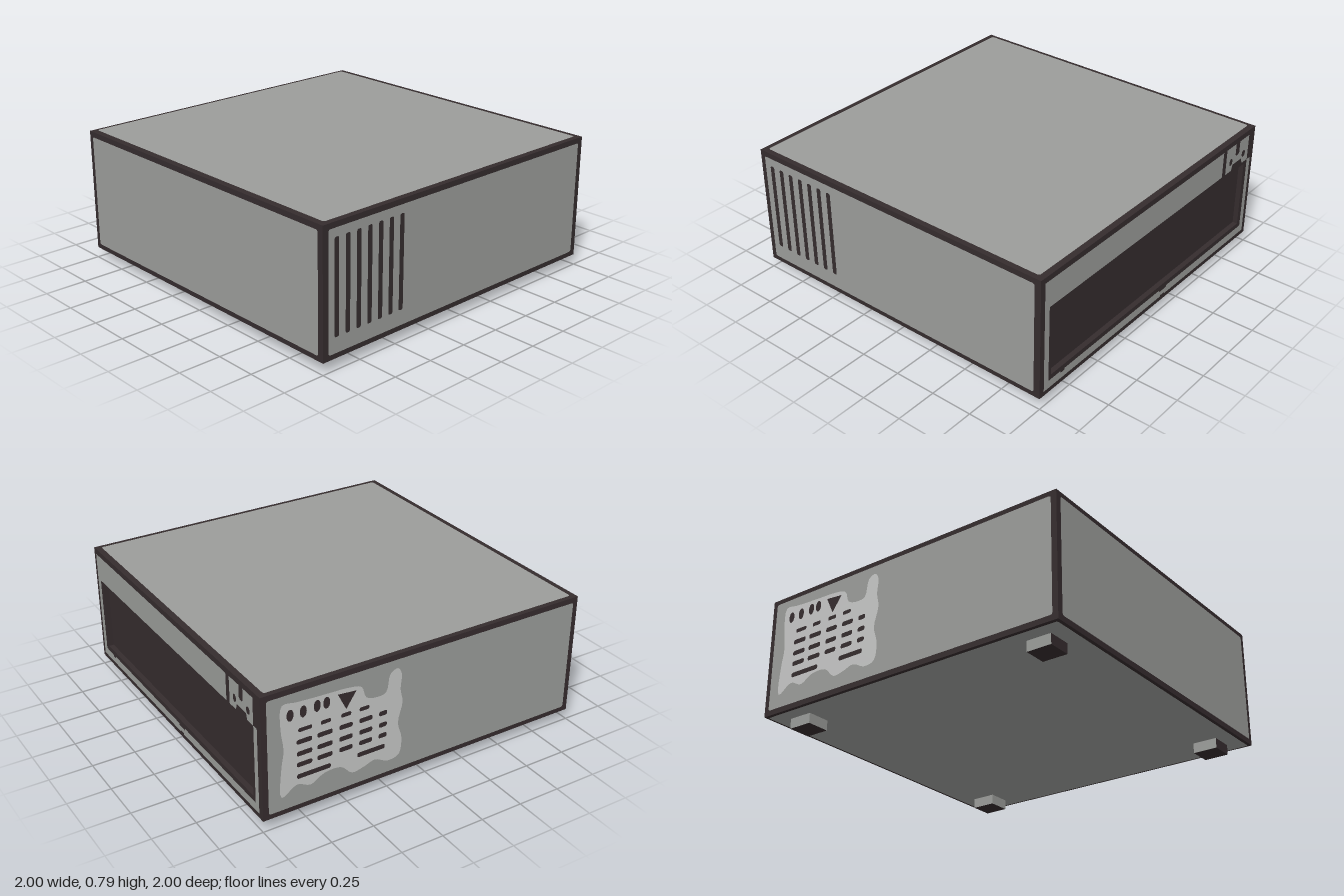
import * as THREE from 'three';

const material = (name, color, side = THREE.FrontSide) => {
  const m = new THREE.MeshStandardMaterial({ color, side });
  m.name = name;
  return m;
};

// Rounded rectangle, as a shape or as a hole
function roundRect(x0, y0, x1, y1, r, Kind = THREE.Shape) {
  const s = new Kind();
  s.moveTo(x0 + r, y0);
  s.lineTo(x1 - r, y0); s.quadraticCurveTo(x1, y0, x1, y0 + r);
  s.lineTo(x1, y1 - r); s.quadraticCurveTo(x1, y1, x1 - r, y1);
  s.lineTo(x0 + r, y1); s.quadraticCurveTo(x0, y1, x0, y1 - r);
  s.lineTo(x0, y0 + r); s.quadraticCurveTo(x0, y0, x0 + r, y0);
  return s;
}
const polygon = (pts, Kind = THREE.Shape) => new Kind(pts.map(([x, y]) => new THREE.Vector2(x, y)));
function oval(x, y, rx, ry) {
  const p = new THREE.Path();
  p.absellipse(x, y, rx, ry, 0, Math.PI * 2);
  return p;
}

export function createModel() {
  const model = new THREE.Group();
  model.name = 'desktopUnit';
  const grey = material('panelGrey', 0x9b9d9a);
  const dark = material('darkTrim', 0x352c2e);
  const silver = material('silverPlate', 0xc6c7c6);

  const add = (name, geometry, mat, parent = model) => {
    const mesh = new THREE.Mesh(geometry, mat);
    mesh.name = name;
    parent.add(mesh);
    return mesh;
  };

  // Dark case, with a shallow frame on the +x side that leaves a recess
  const E = 0.997, depth = 0.03;
  const inner = E - depth;
  add('caseBody', new THREE.BoxGeometry(E + inner, 0.727, 2 * E), dark)
    .position.set((inner - E) / 2, 0.4265, 0);
  const frame = polygon([[-E, 0.063], [E, 0.063], [E, 0.79], [-E, 0.79]]);
  frame.holes.push(polygon([[-0.905, 0.165], [-0.905, 0.578], [0.905, 0.578], [0.905, 0.165]], THREE.Path));
  const frameMesh = add('recessFrame',
    new THREE.ExtrudeGeometry(frame, { depth, bevelEnabled: false }), dark);
  frameMesh.rotation.y = Math.PI / 2;
  frameMesh.position.x = inner;

  // One group per side: local x runs to the viewer's right, local y is up
  const side = (name, angle) => {
    const g = new THREE.Group();
    g.name = name;
    g.rotation.y = angle;
    model.add(g);
    return g;
  };
  const plate = (name, shape, mat, parent, z = 1) => {
    const mesh = add(name, new THREE.ShapeGeometry(shape, 8), mat, parent);
    mesh.position.z = z;
    return mesh;
  };

  // Front panel with vertical vent slots showing the dark case
  const front = side('frontSide', 0);
  const frontShape = roundRect(-0.963, 0.093, 0.96, 0.76, 0.015);
  for (let i = 0; i < 7; i++) {
    const x = -0.908 + i * 0.0742;
    frontShape.holes.push(roundRect(x - 0.015, 0.18, x + 0.015, 0.712, 0.012, THREE.Path));
  }
  plate('ventedFrontPanel', frontShape, grey, front);

  // Plain left-over side
  plate('plainSidePanel', roundRect(-0.965, 0.093, 0.965, 0.76, 0.015), grey,
    side('plainSide', -Math.PI / 2));

  // Recessed side: grey surround, corner connector plate and small latches
  const right = side('recessedSide', Math.PI / 2);
  plate('recessSurround', polygon([
    [-0.967, 0.093], [0.965, 0.093], [0.965, 0.6], [0.93, 0.6], [0.93, 0.14],
    [-0.93, 0.14], [-0.93, 0.6], [0.655, 0.6], [0.655, 0.76], [-0.967, 0.76],
  ]), grey, right);
  const connector = polygon([
    [0.69, 0.6], [0.755, 0.6], [0.765, 0.635], [0.86, 0.635], [0.87, 0.6], [0.93, 0.6],
    [0.93, 0.76], [0.83, 0.76], [0.83, 0.69], [0.82, 0.68], [0.8, 0.68], [0.79, 0.69],
    [0.79, 0.76], [0.69, 0.76],
  ]);
  connector.holes.push(oval(0.743, 0.66, 0.016, 0.023), oval(0.88, 0.66, 0.018, 0.022));
  plate('connectorPlate', connector, grey, right);
  for (const [x, y, w] of [[-0.815, 0.136, 0.035], [0.1, 0.136, 0.07], [0.1, 0.096, 0.04]])
    plate('latchMark', roundRect(x - w / 2, y - 0.006, x + w / 2, y + 0.006, 0.004), dark, right, 1.001);

  // Back panel and its worn silver plate with punched slots
  const back = side('backSide', Math.PI);
  plate('backPanel', roundRect(-0.965, 0.093, 0.965, 0.76, 0.015), grey, back);
  const outline = [
    [-0.88, 0.71], [-0.8, 0.705], [-0.72, 0.7], [-0.6, 0.695], [-0.5, 0.69], [-0.42, 0.67],
    [-0.39, 0.6], [-0.33, 0.58], [-0.27, 0.59], [-0.245, 0.69], [-0.2, 0.71], [-0.175, 0.67],
    [-0.18, 0.58], [-0.165, 0.5], [-0.19, 0.38], [-0.165, 0.28], [-0.18, 0.18], [-0.25, 0.165],
    [-0.33, 0.2], [-0.4, 0.18], [-0.47, 0.17], [-0.54, 0.23], [-0.64, 0.23], [-0.72, 0.19],
    [-0.8, 0.22], [-0.89, 0.17], [-0.89, 0.34], [-0.875, 0.45], [-0.89, 0.58],
  ].map(([x, y]) => new THREE.Vector2(x, y));
  const smooth = new THREE.CatmullRomCurve3(outline.map(p => new THREE.Vector3(p.x, p.y, 0)), true);
  const silverShape = new THREE.Shape(smooth.getPoints(116).slice(0, -1).map(p => new THREE.Vector2(p.x, p.y)));
  for (const [x, y] of [[-0.835, 0.64], [-0.76, 0.64], [-0.68, 0.645], [-0.625, 0.645]])
    silverShape.holes.push(oval(x, y, 0.02, 0.034));
  silverShape.holes.push(polygon([[-0.56, 0.67], [-0.45, 0.66], [-0.51, 0.57]], THREE.Path));
  for (const y of [0.47, 0.4, 0.335, 0.265]) {
    const long = y < 0.3;
    const slots = long ? [[-0.8, -0.6], [-0.44, -0.27]]
      : [[-0.8, -0.71], [-0.68, -0.59], [-0.55, -0.47], [-0.43, -0.35], [-0.31, -0.26]];
    for (const [a, b] of slots)
      silverShape.holes.push(roundRect(a, y - 0.014, b, y + 0.014, 0.013, THREE.Path));
  }
  for (const [a, b] of [[-0.79, -0.71], [-0.66, -0.6], [-0.54, -0.48], [-0.43, -0.37]])
    silverShape.holes.push(roundRect(a, 0.527, b, 0.55, 0.011, THREE.Path));
  // Dark backing shows through the punched holes
  const backing = polygon([[-0.86, 0.25], [-0.24, 0.25], [-0.24, 0.57], [-0.44, 0.57], [-0.44, 0.68], [-0.86, 0.68]]);
  plate('slotBacking', backing, dark, back, 1.001);
  plate('silverBackPlate', silverShape, silver, back, 1.002);

  // Lid and underside
  const lid = plate('topPanel', roundRect(-0.963, -0.968, 0.963, 0.972, 0.015), grey, model);
  lid.rotation.x = -Math.PI / 2;
  lid.position.set(0, 0.793, 0);
  const base = plate('bottomPanel', roundRect(-0.98, -0.98, 0.98, 0.98, 0.015), grey, model);
  base.rotation.x = Math.PI / 2;
  base.position.set(0, 0.06, 0);

  // Four feet: dark sole and outer face, grey elsewhere
  for (const sx of [1, -1])
    for (const sz of [1, -1])
      add('foot', new THREE.BoxGeometry(0.147, 0.062, 0.138),
        [sx > 0 ? dark : grey, sx < 0 ? dark : grey, grey, dark, grey, grey])
        .position.set(sx * 0.813, 0.031, sz * 0.83);

  return model;
}
